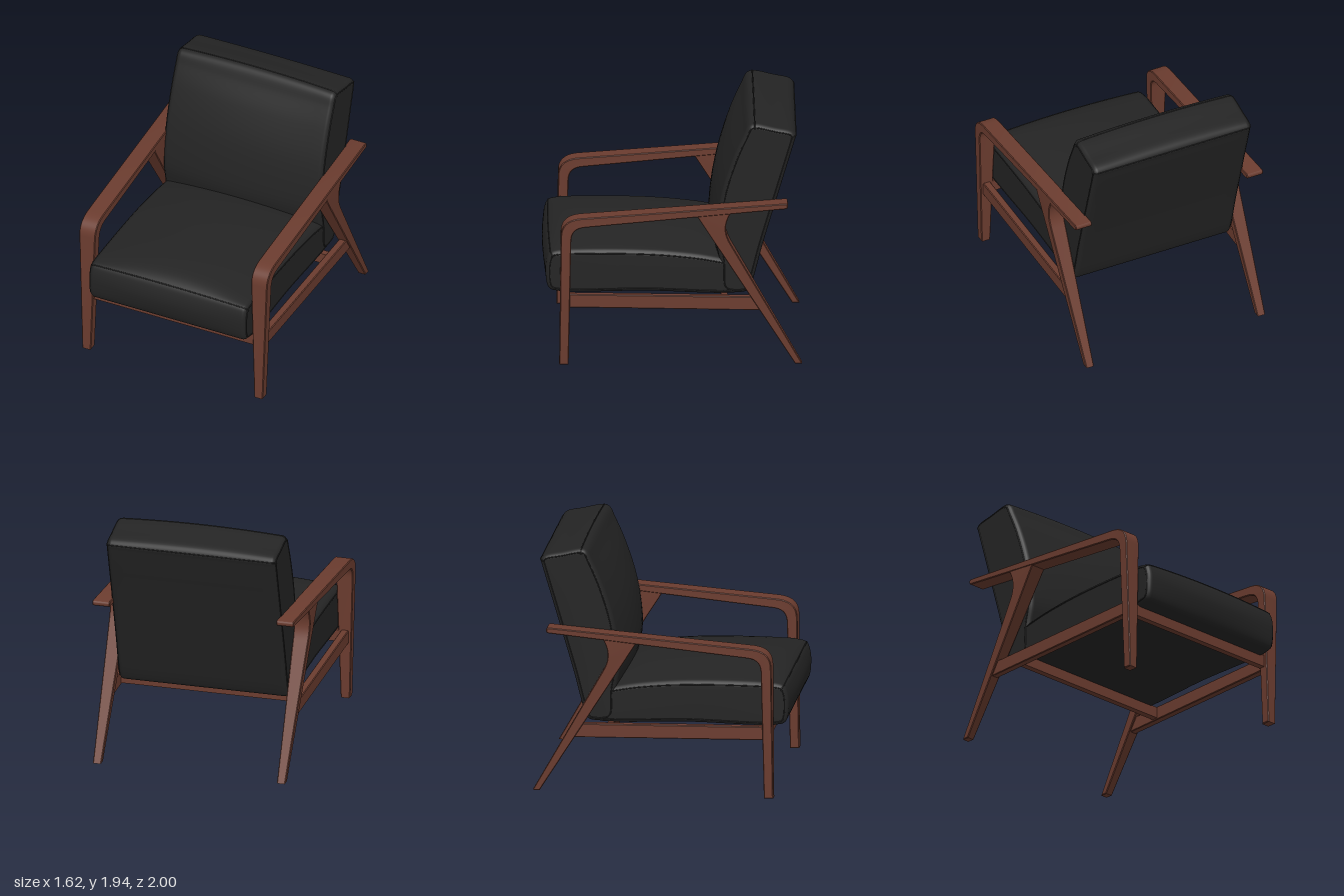
import * as THREE from 'three';
import { toCreasedNormals } from 'three/addons/utils/BufferGeometryUtils.js';

const wood = new THREE.MeshStandardMaterial({ color: 0x6b3c2f });
wood.name = 'walnut wood';
const leather = new THREE.MeshStandardMaterial({ color: 0x242424 });
leather.name = 'black leather';

const SIDE_X = 0.74; // centre line of each side frame

function addMesh(parent, name, geometry, material) {
  const mesh = new THREE.Mesh(geometry, material);
  mesh.name = name;
  parent.add(mesh);
  return mesh;
}

// Extrude a (z, y) outline across x, with a half width that depends on height
function sidePart(shape, halfWidthAt) {
  const bevel = 0.006;
  const geo = new THREE.ExtrudeGeometry(shape, {
    depth: 2 - 2 * bevel, curveSegments: 12, bevelEnabled: true,
    bevelThickness: bevel, bevelSize: bevel, bevelOffset: -bevel, bevelSegments: 1,
  });
  geo.translate(0, 0, -1 + bevel);
  geo.rotateY(-Math.PI / 2);
  const p = geo.attributes.position;
  for (let i = 0; i < p.count; i++) {
    const w = halfWidthAt(p.getY(i));
    const x = p.getX(i);
    p.setX(i, Math.sign(x) * (w - (1 - Math.abs(x))));
  }
  return toCreasedNormals(geo, 0.5);
}

const legWidth = (y) => THREE.MathUtils.lerp(0.037, 0.07, Math.min(1, y / 1.12));

function armAndFrontLeg() {
  const s = new THREE.Shape();
  s.moveTo(0.878, 0);
  s.lineTo(0.866, 1.06);
  s.bezierCurveTo(0.862, 1.14, 0.82, 1.19, 0.71, 1.2);
  s.lineTo(-0.87, 1.314);
  s.quadraticCurveTo(-0.89, 1.314, -0.89, 1.295);
  s.quadraticCurveTo(-0.89, 1.272, -0.87, 1.27);
  s.lineTo(0.678, 1.127);
  s.bezierCurveTo(0.75, 1.12, 0.785, 1.09, 0.786, 1.01);
  s.lineTo(0.806, 0);
  return sidePart(s, legWidth);
}

// Slanted leg that flares forward and back where it meets the arm
function rearLeg() {
  const s = new THREE.Shape();
  s.moveTo(-0.945, 0);
  s.lineTo(-1, 0);
  s.lineTo(-0.45, 0.98);
  s.bezierCurveTo(-0.4, 1.07, -0.39, 1.14, -0.455, 1.25);
  s.lineTo(-0.18, 1.225);
  return sidePart(s, (y) => legWidth(y) - 0.004);
}

function sideRail() {
  const s = new THREE.Shape();
  s.moveTo(0.82, 0.465);
  s.lineTo(0.82, 0.572);
  s.lineTo(-0.62, 0.545);
  s.lineTo(-0.685, 0.435);
  return sidePart(s, () => 0.03);
}

// Cushion from cross-sections along x. Each profile row is z, y and the
// extra z, y bulge at the middle; rows run counter-clockwise.
function cushion(name, halfWidth, profile, seamRows) {
  const group = new THREE.Group();
  group.name = name;
  const per = 6, r = 0.04;
  const loop = (k) => new THREE.CatmullRomCurve3(
    profile.map(([z, y, dz = 0, dy = 0]) => new THREE.Vector3(0, y + k * dy, z + k * dz)),
    true, 'centripetal').getPoints(profile.length * per).slice(0, -1);
  const edge = loop(0), full = loop(1), n = edge.length;

  // stations: x and inset, rounded at both ends
  const half = [];
  for (let k = 0; k <= 5; k++) {
    const a = (k / 5) * Math.PI / 2;
    half.push([halfWidth - r + r * Math.cos(a), r * (1 - Math.sin(a))]);
  }
  for (let k = 1; k <= 8; k++) half.push([(halfWidth - r) * (1 - k / 8), 0]);
  const stations = half.map(([x, d]) => [-x, d]).concat(half.slice(0, -1).reverse());

  const rings = stations.map(([x, inset]) => {
    const crown = 1 - (x / halfWidth) ** 2;
    const pts = edge.map((e, j) => e.clone().lerp(full[j], crown));
    return pts.map((p, j) => {
      const t = pts[(j + 1) % n].clone().sub(pts[(j + n - 1) % n]).normalize();
      return new THREE.Vector3(x, p.y + t.z * inset, p.z - t.y * inset);
    });
  });

  const verts = [], index = [];
  rings.forEach((ring) => ring.forEach((p) => verts.push(p.x, p.y, p.z)));
  for (let i = 0; i < rings.length - 1; i++) {
    for (let j = 0; j < n; j++) {
      const a = i * n + j, c = i * n + (j + 1) % n;
      index.push(a, a + n, c, c, a + n, c + n);
    }
  }
  // side panels
  [0, rings.length - 1].forEach((i) => {
    const c = new THREE.Vector3();
    rings[i].forEach((p) => c.addScaledVector(p, 1 / n));
    const centre = verts.length / 3;
    verts.push(c.x, c.y, c.z);
    for (let j = 0; j < n; j++) {
      const a = i * n + j, b = i * n + (j + 1) % n;
      if (i === 0) index.push(centre, a, b);
      else index.push(centre, b, a);
    }
  });
  const geo = new THREE.BufferGeometry();
  geo.setAttribute('position', new THREE.Float32BufferAttribute(verts, 3));
  geo.setIndex(index);
  geo.computeVertexNormals();
  addMesh(group, name + ' body', geo, leather);

  // piping round both sides and across the chosen rows
  const piping = (pts, closed) => addMesh(group, name + ' piping', new THREE.TubeGeometry(
    new THREE.CatmullRomCurve3(pts, closed), pts.length * 2, 0.005, 6, closed), leather);
  piping(rings[1], true);
  piping(rings[rings.length - 2], true);
  seamRows.forEach((row) => piping(rings.map((ring) => ring[row * per]), false));
  return group;
}

export function createModel() {
  const chair = new THREE.Group();
  chair.name = 'lounge chair';

  // wooden frame
  const frame = new THREE.Group();
  frame.name = 'frame';
  chair.add(frame);
  const parts = { armAndFrontLeg: armAndFrontLeg(), rearLeg: rearLeg(), sideRail: sideRail() };
  for (const side of [-1, 1]) {
    for (const [name, geo] of Object.entries(parts)) {
      addMesh(frame, (side > 0 ? 'left ' : 'right ') + name, geo, wood).position.x = side * SIDE_X;
    }
  }
  const front = addMesh(frame, 'frontRail', new THREE.BoxGeometry(2 * SIDE_X, 0.095, 0.05), wood);
  front.position.set(0, 0.52, 0.82);
  const rear = addMesh(frame, 'rearRail', new THREE.BoxGeometry(2 * SIDE_X, 0.09, 0.05), wood);
  rear.position.set(0, 0.497, -0.4);

  // seat cushion, crowned on top
  chair.add(cushion('seat cushion', 0.675, [
    [-0.53, 0.548], [0.2, 0.558], [0.93, 0.568], [0.965, 0.6],
    [0.98, 0.74, 0.02], [0.968, 0.83, 0.015, 0.01], [0.945, 0.875, 0.01, 0.02],
    [0.88, 0.892, 0, 0.05], [0.72, 0.897, 0, 0.075], [0.3, 0.893, 0, 0.08],
    [0, 0.875, 0, 0.08], [-0.3, 0.835, 0, 0.075], [-0.5, 0.78, 0, 0.05],
    [-0.56, 0.7], [-0.565, 0.58],
  ], [6]));

  // reclined back cushion, bulging forward
  chair.add(cushion('back cushion', 0.68, [
    [-0.38, 0.6], [-0.37, 0.8, 0.04], [-0.34, 0.97, 0.05], [-0.35, 1.16, 0.05],
    [-0.395, 1.4, 0.045], [-0.48, 1.66, 0.03], [-0.55, 1.82, 0.015],
    [-0.59, 1.9, 0, 0.02], [-0.635, 1.918, 0, 0.022], [-0.8, 1.885, 0, 0.02],
    [-0.925, 1.855, 0, 0.01], [-0.955, 1.82], [-0.945, 1.78], [-0.833, 1.4],
    [-0.7, 0.945], [-0.605, 0.6], [-0.575, 0.555], [-0.42, 0.555],
  ], [8, 11]));

  return chair;
}
